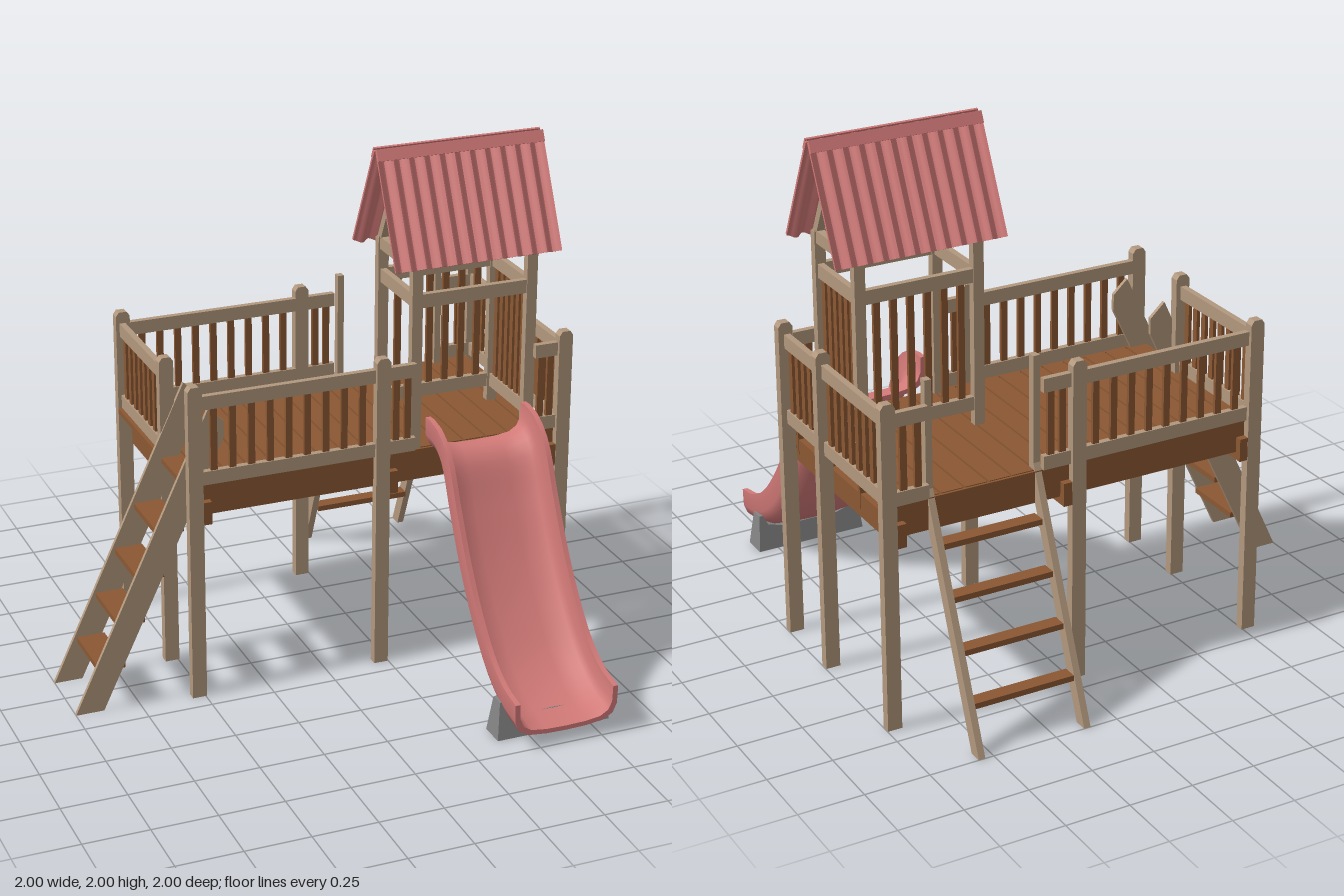
import * as THREE from 'three';
import { toCreasedNormals } from 'three/addons/utils/BufferGeometryUtils.js';

const mat = (name, color) => Object.assign(new THREE.MeshStandardMaterial({ color }), { name });

export function createModel() {
  const tan = mat('pale timber', 0xb2987e);
  const brown = mat('brown timber', 0x8b5833);
  const pink = mat('pink plastic', 0xd27a78);
  const grey = mat('grey base', 0x858585);
  const root = new THREE.Group();
  root.name = 'playTower';

  const add = (name, geo, material, parent = root) => {
    const m = new THREE.Mesh(geo, material);
    m.name = name;
    parent.add(m);
    return m;
  };
  // box given by its min and max on every axis
  const box = (name, m, x0, x1, y0, y1, z0, z1, parent = root) => {
    const b = add(name, new THREE.BoxGeometry(x1 - x0, y1 - y0, z1 - z0), m, parent);
    b.position.set((x0 + x1) / 2, (y0 + y1) / 2, (z0 + z1) / 2);
    return b;
  };
  const shape = pts => new THREE.Shape(pts.map(p => new THREE.Vector2(...p)));
  const plate = (pts, depth) =>
    new THREE.ExtrudeGeometry(shape(pts), { depth, bevelEnabled: false }).translate(0, 0, -depth / 2);

  // main posts with chamfered tops
  const postGeo = plate([[-0.028, 0], [0.028, 0], [0.028, 1.245], [0.016, 1.262], [-0.016, 1.262], [-0.028, 1.245]], 0.036);
  for (const [x, z] of [[-0.523, 0.162], [0.22, 0.162], [0.97, 0.162], [-0.523, -0.152], [0.97, -0.152],
    [-0.523, -0.658], [0.22, -0.658], [0.97, -0.658]]) {
    add('post', postGeo, tan).position.set(x, 0, z);
  }

  // deck planks, joists and cross beams
  for (let i = 0; i < 16; i++) {
    const x = -0.552 + i * 0.0937;
    box('deckPlank', brown, x, x + 0.085, 0.845, 0.865, -0.638, 0.14);
  }
  for (const z of [0.132, -0.135, -0.38, -0.632]) box('joist', brown, -0.497, 0.945, 0.74, 0.846, z - 0.008, z + 0.008);
  for (const z of [0.146, -0.643]) box('fascia', brown, -0.497, 0.945, 0.74, 0.862, z - 0.005, z + 0.005);
  for (const x of [-0.48, 0.265, 0.925]) box('crossBeam', brown, x - 0.018, x + 0.018, 0.71, 0.8, -0.675, 0.178);

  // railing along x or z with evenly spaced balusters
  function railing(name, axis, from, to, at, count, yLow, yHigh) {
    const g = new THREE.Group();
    g.name = name;
    root.add(g);
    const put = (part, m, a0, a1, y0, y1, half) => axis === 'x'
      ? box(part, m, a0, a1, y0, y1, at - half, at + half, g)
      : box(part, m, at - half, at + half, y0, y1, a0, a1, g);
    put('topRail', tan, from, to, yHigh - 0.053, yHigh, 0.012);
    put('bottomRail', tan, from, to, yLow, yLow + 0.053, 0.012);
    for (let i = 0; i < count; i++) {
      const c = from + (to - from) * (i + 0.7) / (count + 0.4);
      put('baluster', brown, c - 0.013, c + 0.013, yLow + 0.05, yHigh - 0.05, 0.007);
    }
  }
  for (const [side, z] of [['front', 0.155], ['back', -0.65]]) {
    railing(side + 'Railing', 'x', -0.497, 0.194, z, 9, 0.866, 1.217);
    railing(side + 'InnerRailing', 'x', 0.246, 0.358, z, 2, 0.866, 1.217);
    railing(side + 'OuterRailing', 'x', side === 'front' ? 0.85 : 0.81, 0.944, z, 2, 0.866, 1.217);
  }
  railing('rightRailing', 'z', -0.64, -0.17, -0.525, 8, 0.866, 1.217);
  railing('leftRailing', 'z', -0.64, -0.17, 0.965, 8, 0.866, 1.217);
  railing('leftFrontRailing', 'z', -0.134, 0.144, 0.965, 5, 0.866, 1.217);

  // tower posts, rails and the two slatted walls
  for (const x of [0.368, 0.837]) {
    for (const z of [0.126, -0.193]) box('towerPost', tan, x - 0.021, x + 0.021, 0.8, 1.6, z - 0.016, z + 0.016);
    box('towerPlate', tan, x - 0.015, x + 0.015, 1.557, 1.605, -0.2, 0.135);
  }
  for (const z of [0.126, -0.193]) box('towerHeader', tan, 0.35, 0.855, 1.575, 1.605, z - 0.012, z + 0.012);
  railing('towerBackWall', 'x', 0.388, 0.817, -0.193, 6, 0.925, 1.477);
  railing('towerLeftWall', 'z', -0.178, 0.112, 0.837, 6, 0.925, 1.477);
  box('towerFrontRail', tan, 0.388, 0.817, 1.424, 1.477, 0.114, 0.138);
  box('towerRightRail', tan, 0.356, 0.38, 1.424, 1.477, -0.178, 0.112);

  // gable frames
  for (const x of [0.368, 0.837]) {
    for (const s of [-1, 1]) {
      const dz = -0.162 * s, dy = 0.34;
      const r = add('rafter', new THREE.BoxGeometry(0.03, Math.hypot(dz, dy), 0.03), tan);
      r.position.set(x, 1.755, -0.033 - dz / 2);
      r.rotation.x = Math.atan2(dz, dy);
    }
    const k = add('kingPost', new THREE.CylinderGeometry(0.022, 0.011, 0.34, 4).rotateY(Math.PI / 4), tan);
    k.position.set(x, 1.77, -0.033);
  }

  // corrugated roof sheets, one slope turned around the ridge for the other
  const width = 0.676, steps = 88, slope = 0.45;
  const wave = i => 0.01 * Math.cos(i / steps * Math.PI * 22);
  const top = [], under = [];
  for (let i = 0; i <= steps; i++) {
    const x = (i / steps - 0.5) * width;
    top.push([x, wave(i) + 0.005]);
    under.unshift([x, wave(i) - 0.005]);
  }
  const sheetGeo = toCreasedNormals(new THREE.ExtrudeGeometry(shape([...under.reverse(), ...top.reverse()]),
    { depth: slope, bevelEnabled: false }), 0.7);
  const normal = new THREE.Vector3(0, 0.195, 0.41).normalize();
  const down = new THREE.Vector3(0, -0.41, 0.195).normalize();
  const basis = new THREE.Matrix4().makeBasis(new THREE.Vector3(1, 0, 0), normal, down);
  const capGeo = new THREE.BoxGeometry(width, 0.008, 0.045).translate(0, 0.017, 0.016).applyMatrix4(basis);
  sheetGeo.applyMatrix4(basis);
  for (const turn of [0, Math.PI]) {
    const g = new THREE.Group();
    g.name = 'roofSlope';
    g.position.set(0.603, 1.99, -0.033);
    g.rotation.y = turn;
    add('roofSheet', sheetGeo, pink, g);
    add('ridgeCap', capGeo, pink, g);
    root.add(g);
  }

  // slide: trough section swept along a curve in the y-z plane
  const path = new THREE.CatmullRomCurve3([[0.925, 0.17], [0.925, 0.235], [0.875, 0.31], [0.7, 0.4], [0.515, 0.5],
    [0.35, 0.615], [0.215, 0.745], [0.145, 0.87], [0.12, 0.995]].map(([y, z]) => new THREE.Vector3(0, y, z)));
  const half = [[0.208, 0.072], [0.206, 0], [0.19, -0.038], [0.15, -0.06], [0.08, -0.068], [0, -0.07]];
  const inner = [[0, -0.052], [0.08, -0.05], [0.14, -0.042], [0.172, -0.022], [0.186, 0.01], [0.188, 0.072]];
  const flip = a => a.map(([x, y]) => [-x, y]).reverse();
  const section = [...half, ...flip(half).slice(1), ...flip(inner), ...inner.slice(1)];
  const n = section.length, rings = 32, pos = [], idx = [];
  for (let i = 0; i <= rings; i++) {
    const p = path.getPointAt(i / rings), t = path.getTangentAt(i / rings);
    if (i === 0 || i === rings) t.set(0, 0, 1);
    for (const [u, v] of section) pos.push(0.603 + u, p.y + v * t.z, p.z - v * t.y);
  }
  for (let i = 0; i < rings; i++) {
    for (let j = 0; j < n; j++) {
      const a = i * n + j, b = i * n + (j + 1) % n;
      idx.push(a, b, a + n, b, b + n, a + n);
    }
  }
  // end faces between outer and inner skins
  for (let j = 0; j < 10; j++) {
    const a = j, b = j + 1, c = n - 2 - j, d = n - 1 - j, o = rings * n;
    idx.push(a, d, b, b, d, c, o + a, o + b, o + d, o + b, o + c, o + d);
  }
  const slideGeo = new THREE.BufferGeometry();
  slideGeo.setAttribute('position', new THREE.Float32BufferAttribute(pos, 3));
  slideGeo.setIndex(idx);
  pink.side = THREE.DoubleSide;
  add('slide', toCreasedNormals(slideGeo, 0.8), pink);

  // slide foot, narrowing upwards, with a hollow for the trough
  const footGeo = plate([[-0.228, 0], [0.228, 0], [0.213, 0.145], [0.2, 0.145], [0.18, 0.105], [0.12, 0.088],
    [-0.12, 0.088], [-0.18, 0.105], [-0.2, 0.145], [-0.213, 0.145]], 0.1);
  const fp = footGeo.attributes.position;
  for (let i = 0; i < fp.count; i++) fp.setZ(i, fp.getZ(i) * (1 - 0.45 * fp.getY(i) / 0.145));
  footGeo.computeVertexNormals();
  add('slideFoot', footGeo, grey).position.set(0.603, 0, 0.85);

  // stairs at the side
  const stringer = plate([[-1, 0], [-0.89, 0], [-0.4, 1.035], [-0.4, 1.1], [-0.46, 1.155]], 0.015);
  for (const z of [0.135, -0.135]) add('stairStringer', stringer, tan).position.z = z;
  // ladder at the back
  const rail = plate([[-1, 0], [-0.947, 0], [-0.605, 0.84], [-0.605, 1.3], [-0.635, 1.3], [-0.635, 0.89]], 0.026)
    .rotateY(-Math.PI / 2);
  for (const x of [0.372, 0.796]) add('ladderRail', rail, tan).position.x = x;
  for (let i = 0; i < 4; i++) {
    const y = 0.168 + i * 0.173, x = -0.905 + i * 0.08, z = -0.925 + i * 0.075;
    box('stairTread', brown, x, x + 0.108, y - 0.011, y + 0.011, -0.128, 0.128);
    box('ladderRung', brown, 0.385, 0.783, y - 0.011, y + 0.011, z, z + 0.056);
  }
  return root;
}
